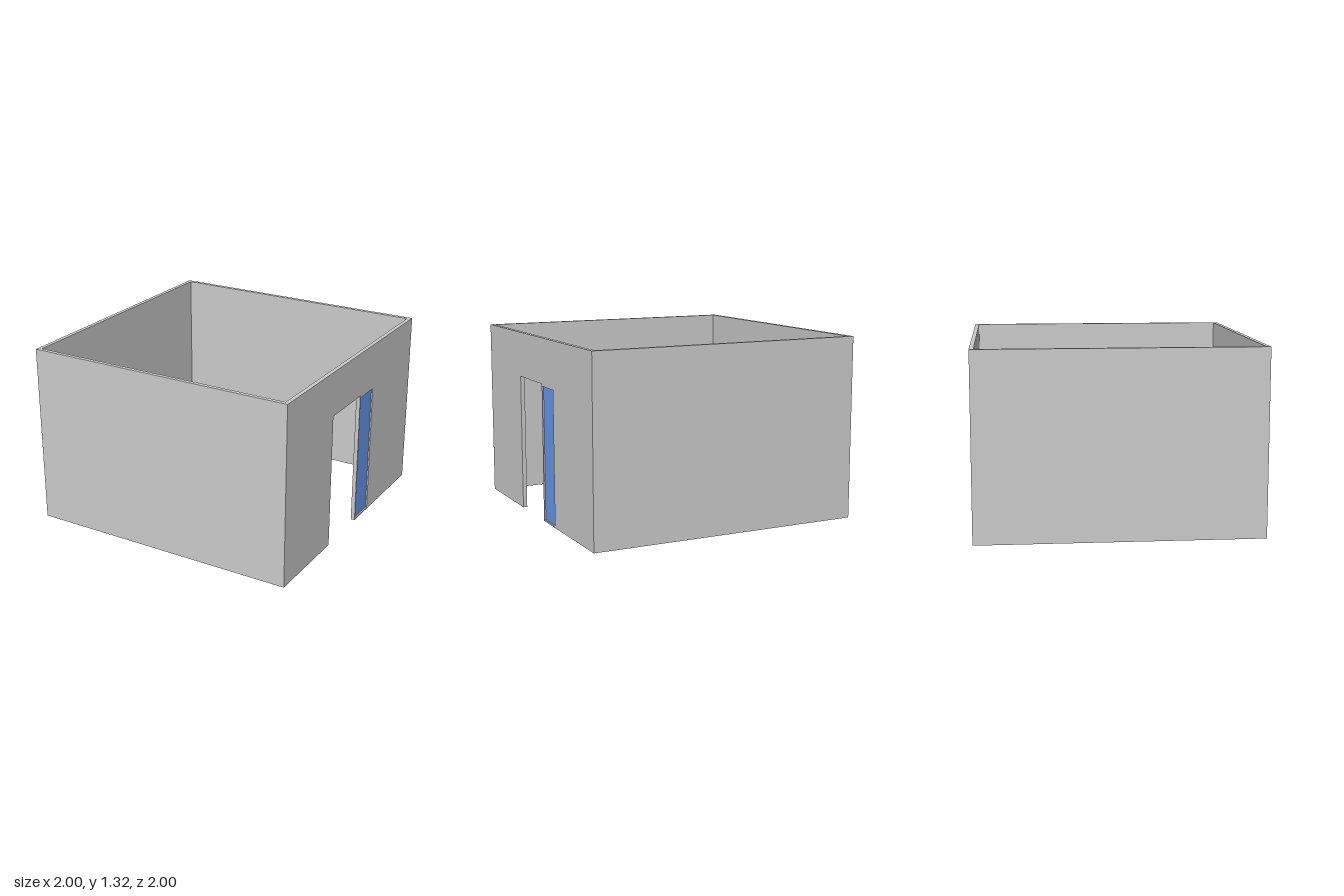
import * as THREE from 'three';

const H = 1.315, T = 0.03;           // wall height and thickness
const DOOR = 0.33, DOOR_TOP = 0.99;  // doorway half width and height

const grey = new THREE.MeshStandardMaterial({ color: 0xcccccc });
const blue = new THREE.MeshStandardMaterial({ color: 0x6b9aef });

function add(parent, name, geometry, material, x, y, z) {
  const mesh = new THREE.Mesh(geometry, material);
  mesh.name = name;
  mesh.position.set(x, y, z);
  parent.add(mesh);
  return mesh;
}

// rectangle path as a point list
const rect = (x0, y0, x1, y1) =>
  [[x0, y0], [x1, y0], [x1, y1], [x0, y1]].map(([x, y]) => new THREE.Vector2(x, y));

// extrude a flat outline through the wall thickness, turned to face +x
function wallExtrude(points, hole) {
  const shape = new THREE.Shape(points);
  if (hole) shape.holes.push(new THREE.Path(hole));
  return new THREE.ExtrudeGeometry(shape, { depth: T, bevelEnabled: false }).rotateY(Math.PI / 2);
}

export function createModel() {
  const model = new THREE.Group();
  model.name = 'room';

  // plain walls
  add(model, 'rightWall', new THREE.BoxGeometry(T, H, 2), grey, -1 + T / 2, H / 2, 0);
  for (const [name, s] of [['frontWall', 1], ['backWall', -1]])
    add(model, name, new THREE.BoxGeometry(2 - 2 * T, H, T), grey, 0, H / 2, s * (1 - T / 2));

  // wall with the doorway (outline runs from the front to the back)
  const outline = [[-1, 0], [-DOOR, 0], [-DOOR, DOOR_TOP], [DOOR, DOOR_TOP],
    [DOOR, 0], [1, 0], [1, H], [-1, H]].map(([x, y]) => new THREE.Vector2(x, y));
  add(model, 'doorWall', wallExtrude(outline), grey, 1 - T, 0, 0);

  // fixed glazed side panel: flush frame with a thin pane inside
  const panel = new THREE.Group();
  panel.name = 'sidePanel';
  model.add(panel);
  const x0 = 0.112, x1 = 0.317, y0 = 0.012, y1 = 0.974;
  add(panel, 'panelFrame',
    wallExtrude(rect(0.102, 0, DOOR, DOOR_TOP), rect(x0, y0, x1, y1)), grey, 1 - T, 0, 0);
  add(panel, 'glassPane', new THREE.BoxGeometry(0.01, y1 - y0, x1 - x0), blue,
    1 - T / 2, (y0 + y1) / 2, -(x0 + x1) / 2);

  return model;
}
